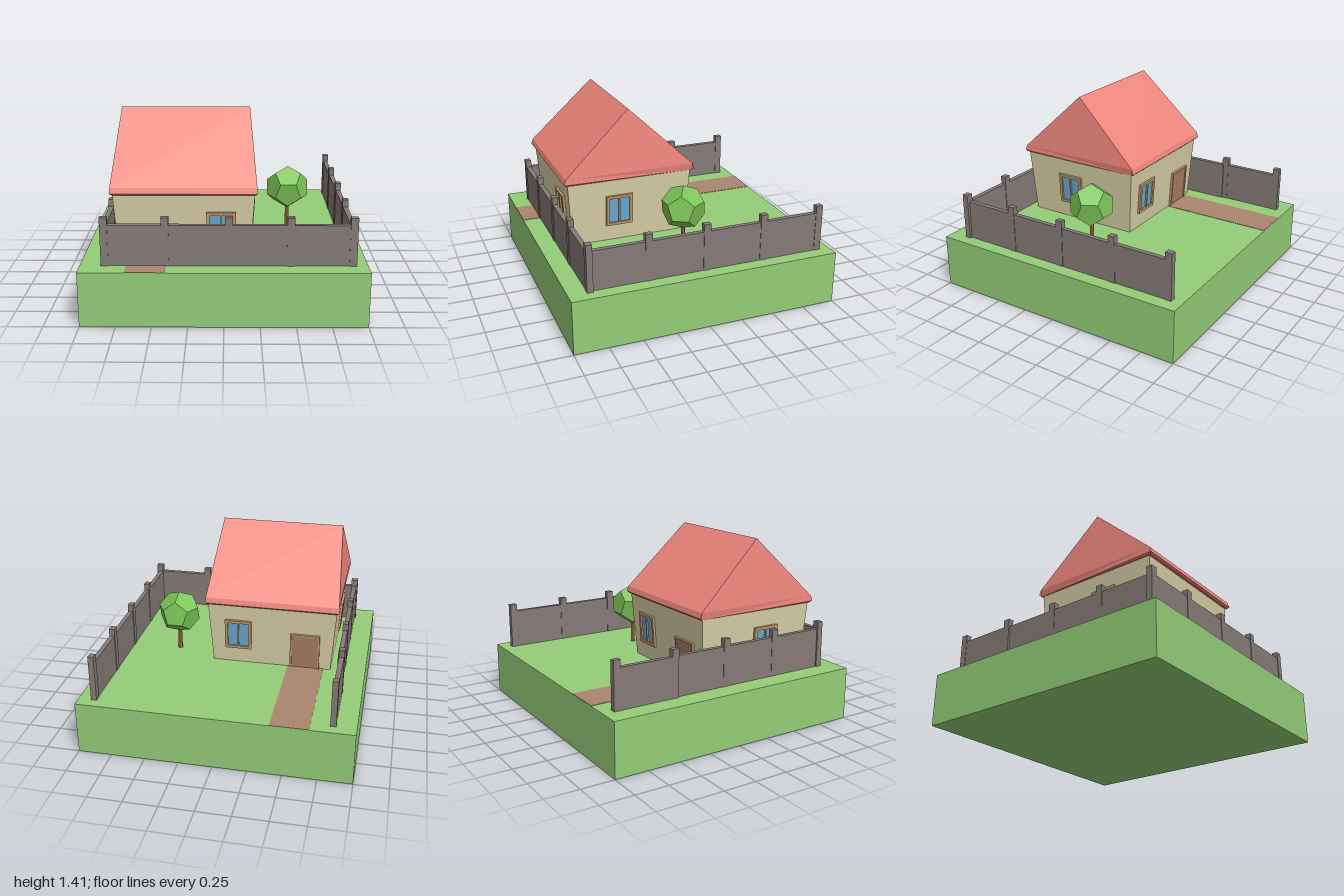
import * as THREE from 'three';

const mat = (color) => new THREE.MeshStandardMaterial({ color, flatShading: true });
const grass = mat(0x94cd78), dirt = mat(0xaa8570), stone = mat(0x857b77), cream = mat(0xd8cfa6);
const red = mat(0xee867b), wood = mat(0xc49a6c), glass = mat(0x6aaad0), bark = mat(0xa9703f);
const leaf = mat(0x7cc458), doorBrown = mat(0xa87f64);

const GROUND = 0.4;
const HOUSE = { x: -0.277, z: 0.31, topX: 0.49, topZ: 0.48, inset: 0.033, height: 0.5 };
const LEAN = Math.atan(HOUSE.inset / HOUSE.height);

function add(parent, name, geometry, material, x = 0, y = 0, z = 0) {
  const mesh = new THREE.Mesh(geometry, material);
  mesh.name = name;
  mesh.position.set(x, y, z);
  parent.add(mesh);
  return mesh;
}
const box = (parent, name, w, h, d, material, x, y, z) =>
  add(parent, name, new THREE.BoxGeometry(w, h, d), material, x, y, z);

// Rectangular frame with holes, extruded outwards along +z
function frameGeometry(w, h, holes, depth) {
  const rect = (Type, x0, y0, x1, y1) => new Type([
    new THREE.Vector2(x0, y0), new THREE.Vector2(x1, y0),
    new THREE.Vector2(x1, y1), new THREE.Vector2(x0, y1)]);
  const shape = rect(THREE.Shape, -w / 2, -h / 2, w / 2, h / 2);
  for (const hole of holes) shape.holes.push(rect(THREE.Path, ...hole));
  return new THREE.ExtrudeGeometry(shape, { depth, bevelEnabled: false });
}

function windowUnit() {
  const g = new THREE.Group();
  g.name = 'window';
  const panes = [[-0.08, -0.098, -0.006, 0.098], [0.006, -0.098, 0.08, 0.098]];
  const outer = frameGeometry(0.205, 0.24, panes, 0.03).translate(0, 0, -0.012);
  add(g, 'windowFrame', outer, wood);
  box(g, 'windowGlass', 0.17, 0.2, 0.012, glass, 0, 0, 0);
  return g;
}

function doorUnit() {
  const g = new THREE.Group();
  g.name = 'door';
  box(g, 'doorPanel', 0.2, 0.28, 0.02, doorBrown, 0, 0, 0);
  const frame = frameGeometry(0.225, 0.29, [[-0.1, -0.144, 0.1, 0.132]], 0.03).translate(0, 0, -0.012);
  add(g, 'doorFrame', frame, wood);
  return g;
}

// Places a unit on a leaning wall; turn is the wall's heading, side its offset along the wall
function mountOnWall(house, unit, turn, side, y) {
  const half = Math.abs(Math.sin(turn)) > 0.5 ? HOUSE.topX : HOUSE.topZ;
  const out = half - (HOUSE.height - y) * Math.tan(LEAN);
  const wall = new THREE.Group();
  wall.name = unit.name + 'Mount';
  wall.rotation.y = turn;
  unit.position.set(side, y, out);
  unit.rotation.x = LEAN;
  wall.add(unit);
  house.add(wall);
}

function createHouse() {
  const house = new THREE.Group();
  house.name = 'house';
  house.position.set(HOUSE.x, GROUND, HOUSE.z);

  // Walls narrow towards the ground
  const walls = new THREE.BoxGeometry(HOUSE.topX * 2, HOUSE.height, HOUSE.topZ * 2);
  walls.translate(0, HOUSE.height / 2, 0);
  const p = walls.attributes.position;
  for (let i = 0; i < p.count; i++) {
    if (p.getY(i) > 0.1) continue;
    p.setX(i, p.getX(i) - Math.sign(p.getX(i)) * HOUSE.inset);
    p.setZ(i, p.getZ(i) - Math.sign(p.getZ(i)) * HOUSE.inset);
  }
  walls.computeVertexNormals();
  add(house, 'walls', walls, cream);

  // Gable roof: profile extruded along x, shortened towards the ridge
  const half = [[0.493, 0.49], [0.507, 0.503], [0.495, 0.543]];
  const profile = [...half, [0, 1.012], ...half.map(([z, y]) => [-z, y]).reverse()];
  const shape = new THREE.Shape(profile.map(([z, y]) => new THREE.Vector2(z, y)));
  const roof = new THREE.ExtrudeGeometry(shape, { depth: 2, bevelEnabled: false });
  roof.translate(0, 0, -1).rotateY(Math.PI / 2);
  const r = roof.attributes.position;
  for (let i = 0; i < r.count; i++) {
    const y = r.getY(i);
    const reach = y < 0.5 ? 0.495 : 0.508 - 0.046 * (y - 0.503) / 0.509;
    r.setX(i, Math.sign(r.getX(i)) * reach);
  }
  roof.computeVertexNormals();
  add(house, 'roof', roof, red);

  // Windows on all four walls, door at the back
  const sill = 0.245;
  mountOnWall(house, windowUnit(), 0, 0.257, sill);
  mountOnWall(house, windowUnit(), Math.PI, -0.257, sill);
  mountOnWall(house, windowUnit(), Math.PI / 2, -0.085, sill);
  mountOnWall(house, windowUnit(), -Math.PI / 2, 0.085, sill);
  mountOnWall(house, doorUnit(), Math.PI, 0.257, 0.145);
  return house;
}

function createFence() {
  const fence = new THREE.Group();
  fence.name = 'fence';
  const panelH = 0.295, postH = 0.35;
  const panel = (w, d, x, z) => box(fence, 'fencePanel', w, panelH, d, stone, x, GROUND + panelH / 2, z);
  const post = (w, d, x, z) => box(fence, 'fencePost', w, postH, d, stone, x, GROUND + postH / 2, z);

  // Front run, right run, then the left run with its offset back section
  panel(1.7, 0.036, 0.04, 0.847);
  panel(0.034, 1.77, 0.883, -0.035);
  panel(0.036, 1.28, -0.825, 0.21);
  panel(0.036, 0.45, -0.837, -0.695);

  for (const x of [-0.827, -0.407, 0.034, 0.46, 0.893]) post(0.052, 0.044, x, 0.847);
  for (const z of [-0.895, -0.45, -0.01, 0.42]) post(0.042, 0.052, 0.883, z);
  for (const z of [-0.01, 0.42]) post(0.042, 0.052, -0.825, z);
  for (const z of [-0.895, -0.445]) post(0.042, 0.052, -0.837, z);
  return fence;
}

function createTree() {
  const tree = new THREE.Group();
  tree.name = 'tree';
  tree.position.set(0.488, GROUND, 0);
  add(tree, 'trunk', new THREE.CylinderGeometry(0.014, 0.018, 0.24, 6), bark, 0, 0.12, 0);

  // Faceted crown standing on a corner
  const crown = new THREE.DodecahedronGeometry(0.167);
  crown.applyQuaternion(new THREE.Quaternion().setFromUnitVectors(
    new THREE.Vector3(1, 1, 1).normalize(), new THREE.Vector3(0, 1, 0)));
  crown.rotateY(-0.4);
  add(tree, 'crown', crown, leaf, 0, 0.318, 0);
  return tree;
}

export function createModel() {
  const model = new THREE.Group();
  model.name = 'houseWithGarden';
  box(model, 'lawn', 2, GROUND, 2, grass, 0, GROUND / 2, 0);
  box(model, 'path', 0.275, 0.004, 1.998, dirt, -0.542, GROUND + 0.001, 0);
  model.add(createHouse(), createFence(), createTree());
  return model;
}
